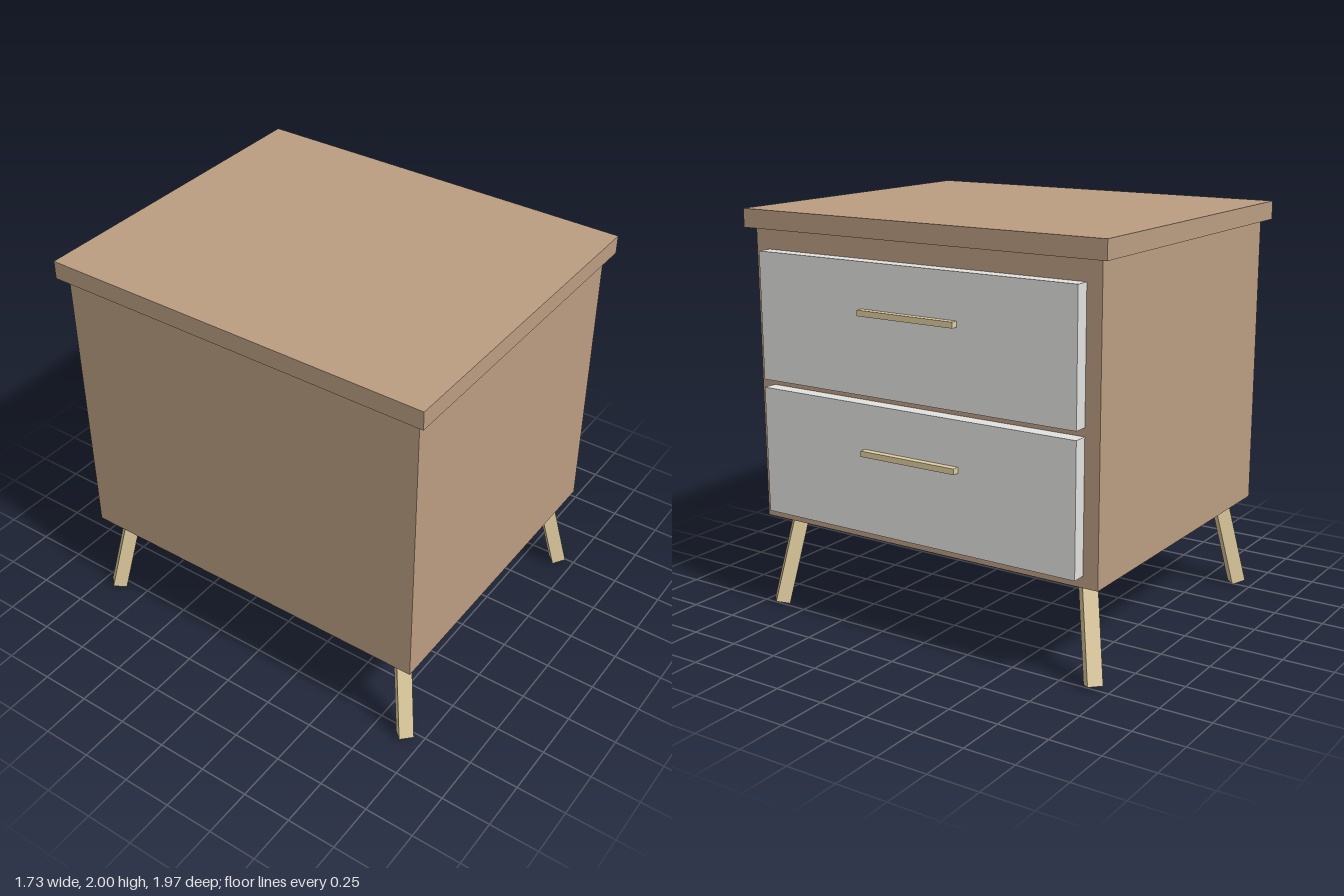
import * as THREE from 'three';

export function createModel() {
  const model = new THREE.Group();
  model.name = 'nightstand';

  const material = (name, color) => {
    const m = new THREE.MeshStandardMaterial({ color });
    m.name = name;
    return m;
  };
  const wood = material('brown wood', 0xbc9e82);
  const white = material('drawer white', 0xe3e3e1);
  const pale = material('pale wood', 0xe2cfa2);

  // Box given by its lowest and highest corner
  const box = (name, mat, [x0, y0, z0], [x1, y1, z1]) => {
    const mesh = new THREE.Mesh(new THREE.BoxGeometry(x1 - x0, y1 - y0, z1 - z0), mat);
    mesh.position.set((x0 + x1) / 2, (y0 + y1) / 2, (z0 + z1) / 2);
    mesh.name = name;
    model.add(mesh);
  };

  // Cabinet and overhanging top
  box('cabinet', wood, [-0.825, 0.47, -0.945], [0.762, 1.91, 0.945]);
  box('top', wood, [-0.865, 1.91, -0.987], [0.802, 2, 0.987]);

  // Two drawers on the +x side, each with a bar handle
  for (const [level, y0, y1, handleY] of [['lower', 0.525, 1.15, 0.92], ['upper', 1.19, 1.81, 1.58]]) {
    box(level + 'Drawer', white, [0.762, y0, -0.87], [0.832, y1, 0.87]);
    box(level + 'Handle', pale, [0.832, handleY - 0.014, -0.263], [0.865, handleY + 0.014, 0.263]);
  }

  // Square legs turned to the diagonals and splayed outwards
  const side = 0.071, length = 0.51, splay = 0.244;
  const legGeometry = new THREE.BoxGeometry(side, length, side);
  legGeometry.translate(0, length / 2, 0).rotateZ(splay);
  for (const sx of [-1, 1]) {
    for (const sz of [-1, 1]) {
      const leg = new THREE.Mesh(legGeometry, pale);
      leg.rotation.y = Math.atan2(-sz, sx);
      leg.position.set(-0.031 + sx * 0.758, side / 2 * Math.sin(splay), sz * 0.91);
      leg.name = (sz > 0 ? 'front' : 'back') + (sx > 0 ? 'Left' : 'Right') + 'Leg';
      model.add(leg);
    }
  }
  return model;
}
